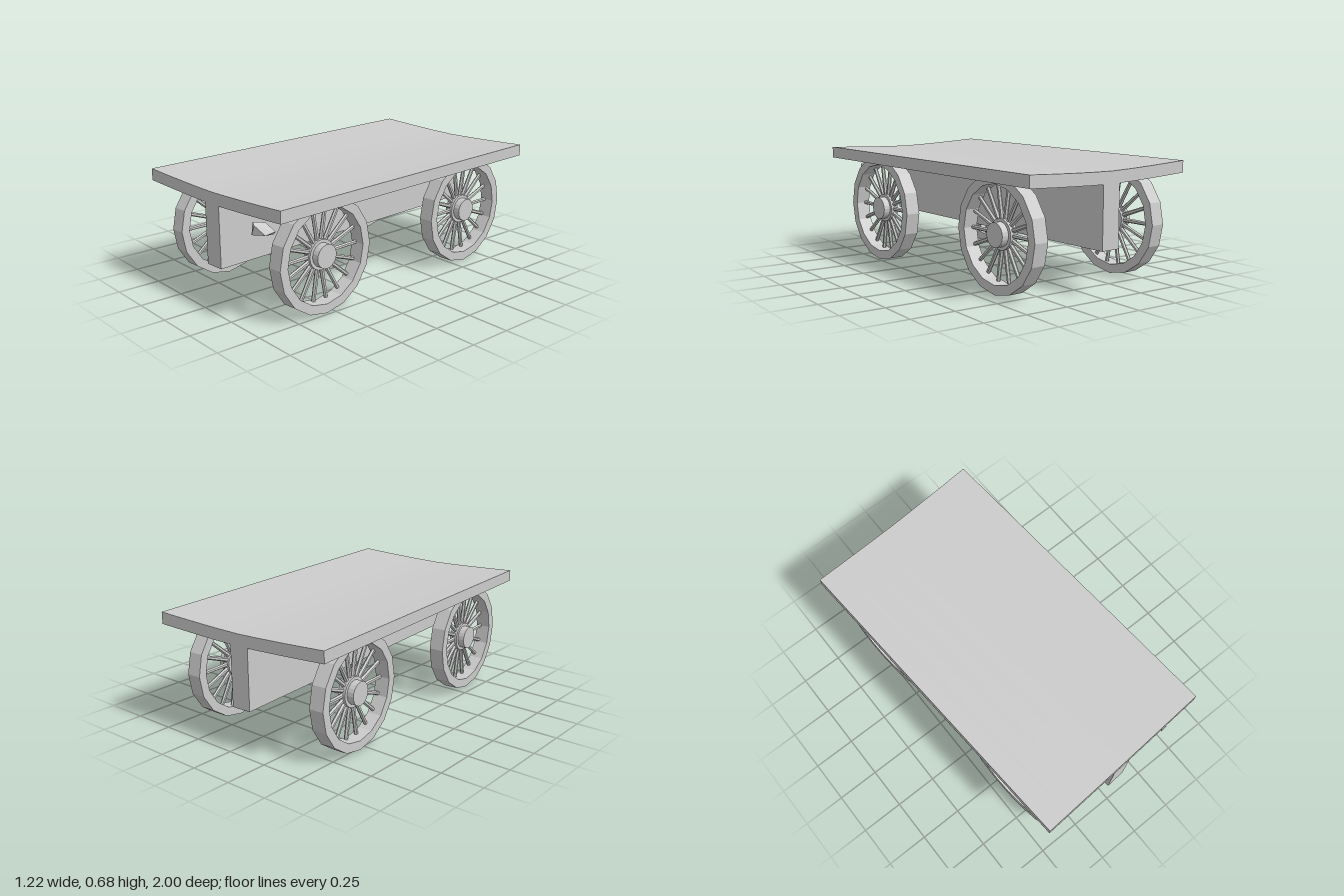
import * as THREE from 'three';
import { ConvexGeometry } from 'three/addons/geometries/ConvexGeometry.js';

const material = new THREE.MeshStandardMaterial({ color: 0xcccccc, flatShading: true });

function add(parent, name, geometry, x = 0, y = 0, z = 0) {
  const mesh = new THREE.Mesh(geometry, material);
  mesh.name = name;
  mesh.position.set(x, y, z);
  parent.add(mesh);
  return mesh;
}

// Deck: shallow dished cross-section swept along the length
function deckGeometry(halfWidth, length) {
  const steps = 8, thickness = 0.067, top = [], bottom = [];
  for (let i = 0; i <= steps; i++) {
    const u = (2 * i) / steps - 1;
    const y = 0.657 + 0.02 * Math.pow(Math.abs(u), 1.4);
    top.push(new THREE.Vector2(u * halfWidth, y));
    bottom.push(new THREE.Vector2(u * halfWidth, y - thickness));
  }
  const shape = new THREE.Shape([...bottom, ...top.reverse()]);
  return new THREE.ExtrudeGeometry(shape, { depth: length, bevelEnabled: false }).translate(0, 0, -length / 2);
}

// Spoked wheel, axle along x, outer face towards +x
function makeWheel() {
  const wheel = new THREE.Group();
  const outer = 0.32, inner = 0.268, half = 0.043, spokes = 18;
  const profile = [[inner, -half], [outer, -half], [outer, half], [inner, half], [inner, -half]]
    .map(([r, y]) => new THREE.Vector2(r, y));
  add(wheel, 'rim', new THREE.LatheGeometry(profile, 16).rotateZ(-Math.PI / 2));
  add(wheel, 'hub', new THREE.CylinderGeometry(0.085, 0.085, 0.045, 20).rotateZ(-Math.PI / 2), -0.018);
  add(wheel, 'hubCap', new THREE.CylinderGeometry(0.067, 0.067, 0.05, 20).rotateZ(-Math.PI / 2), 0.02);
  for (let i = 0; i < spokes; i++) {
    const spoke = new THREE.CylinderGeometry(0.011, 0.013, 0.21, 6).translate(0, 0.175, 0);
    add(wheel, 'spoke', spoke, -0.018).rotation.x = ((i + 0.5) / spokes) * Math.PI * 2;
  }
  return wheel;
}

export function createModel() {
  const model = new THREE.Group();
  model.name = 'wagon';

  // Body stands slightly turned about the vertical
  const body = new THREE.Group();
  body.name = 'body';
  body.rotation.y = 0.062;
  model.add(body);

  add(body, 'deck', deckGeometry(0.549, 1.938));
  add(body, 'centreBeam', new THREE.BoxGeometry(0.116, 0.375, 1.934), -0.002, 0.4325, 0);

  // Four wheels, outer faces away from the beam
  for (const side of [1, -1]) {
    for (const end of [1, -1]) {
      const wheel = makeWheel();
      wheel.name = (end > 0 ? 'front' : 'rear') + (side > 0 ? 'Left' : 'Right') + 'Wheel';
      wheel.position.set(side > 0 ? 0.408 : -0.439, 0.32, end * 0.577);
      if (side < 0) wheel.rotation.y = Math.PI;
      body.add(wheel);
    }
  }

  // Small faceted lump under the front left of the deck
  const lump = [
    [0.385, 0.57, 0.94], [0.41, 0.56, 0.88], [0.44, 0.51, 0.84], [0.435, 0.5, 0.9],
    [0.405, 0.485, 0.83], [0.38, 0.5, 0.945], [0.378, 0.53, 0.87], [0.405, 0.555, 0.945],
  ].map((p) => new THREE.Vector3(...p));
  add(model, 'bracket', new ConvexGeometry(lump));

  return model;
}
